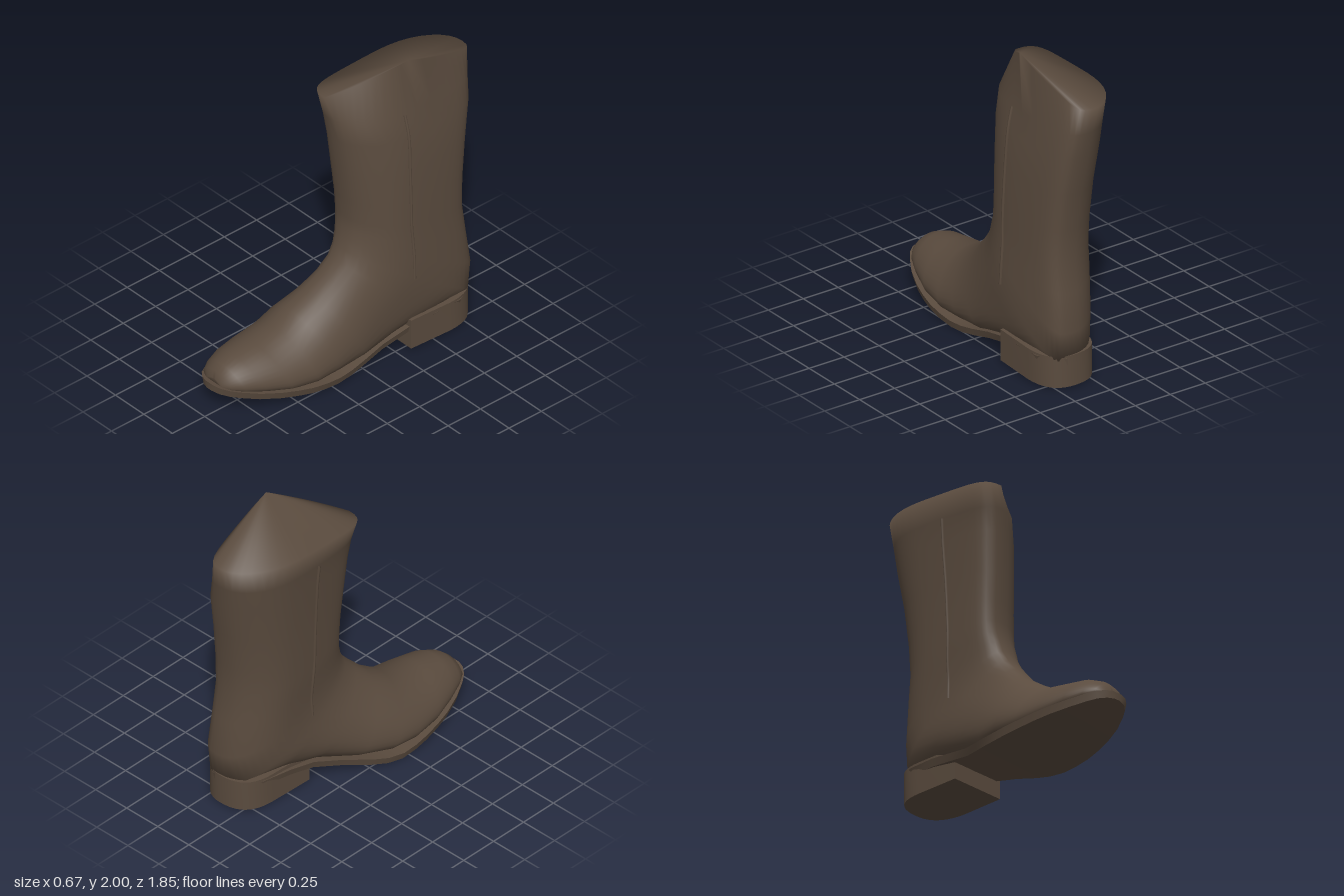
import * as THREE from 'three';
import { toCreasedNormals } from 'three/addons/utils/BufferGeometryUtils.js';

const leather = new THREE.MeshStandardMaterial({ color: 0x5a4b3e });
leather.name = 'brown leather';

// Skin a stack of closed rings, with a fan over each end.
function loft(rings, startTip = 0, endTip = 0) {
  const n = rings[0].length, pos = [], index = [];
  rings.forEach(r => r.forEach(p => pos.push(p.x, p.y, p.z)));
  for (let s = 0; s < rings.length - 1; s++) {
    for (let i = 0; i < n; i++) {
      const a = s * n + i, b = s * n + (i + 1) % n;
      index.push(a, b, a + n, b, b + n, a + n);
    }
  }
  const last = (rings.length - 1) * n;
  for (let i = 1; i < n - 1; i++) {
    const s = (startTip + i) % n, e = (endTip + i) % n;
    index.push(startTip, (s + 1) % n, s);
    index.push(last + endTip, last + e, last + (e + 1) % n);
  }
  const g = new THREE.BufferGeometry();
  g.setAttribute('position', new THREE.Float32BufferAttribute(pos, 3));
  g.setIndex(index);
  g.computeVertexNormals();
  return g;
}

// Sections swing from upright at the toe to level in the shaft:
// front z, front y, back z, back y, half width, centre x
const SECTIONS = [
  [0.885, 0.19, 0.885, 0.15, 0.07, -0.05],
  [0.87, 0.235, 0.85, 0.14, 0.125, -0.05],
  [0.83, 0.27, 0.78, 0.12, 0.17, -0.045],
  [0.75, 0.305, 0.66, 0.09, 0.218, -0.04],
  [0.6, 0.325, 0.5, 0.05, 0.265, -0.035],
  [0.44, 0.35, 0.32, 0.03, 0.287, -0.03],
  [0.32, 0.42, 0.15, 0.03, 0.285, -0.025],
  [0.2, 0.5, -0.05, 0.045, 0.258, 0.01],
  [0.1, 0.6, -0.3, 0.11, 0.225, 0.055],
  [0.03, 0.68, -0.6, 0.15, 0.22, 0.085],
  [-0.01, 0.75, -0.835, 0.17, 0.22, 0.095],
  [-0.03, 0.82, -0.855, 0.36, 0.215, 0.095],
  [-0.045, 0.88, -0.825, 0.6, 0.215, 0.085],
  [-0.05, 0.95, -0.8, 0.8, 0.215, 0.08],
  [-0.045, 1.08, -0.81, 1.0, 0.215, 0.075],
  [-0.03, 1.25, -0.84, 1.25, 0.215, 0.065],
  [-0.01, 1.5, -0.885, 1.5, 0.215, 0.047],
  [0.005, 1.64, -0.9, 1.65, 0.205, 0.025],
  [0.02, 1.78, -0.925, 1.81, 0.203, 0.002],
];
const SIDES = 40, QUARTER = SIDES / 4;
const PEAK = 0.13; // how far the rim's peak sits ahead of its middle

function upperRing([fz, fy, bz, by, hw, cx], s) {
  const top = s === SECTIONS.length - 1;
  const shaft = THREE.MathUtils.smoothstep(s, 5, 11);
  const sag = top ? -PEAK : 0.5 * (1 - shaft); // foot is widest near the sole
  const skew = 0.14 * shaft;                   // heel sits towards +x
  const e = 2 / (2 + 0.5 * shaft);
  const bend = v => Math.sign(v) * Math.abs(v) ** e;
  const ring = [];
  for (let i = 0; i < SIDES; i++) {
    const t = (i / SIDES) * Math.PI * 2, sn = Math.sin(t), q = i / QUARTER;
    let along = bend(Math.cos(t)) - sag * sn * sn, side = bend(sn);
    // rim is cut straight from the front to the peak
    if (top && q <= 1) {
      along = 1 - q * (1 - PEAK);
      side = q;
    }
    const z = (fz + bz) / 2 + along * (fz - bz) / 2;
    let y = (fy + by) / 2 + along * (fy - by) / 2;
    const x = cx - skew / 2 * along ** 3 + hw * side;
    if (top && q <= 2) {
      const away = along - PEAK;
      y = THREE.MathUtils.lerp(2, y, Math.abs(away) / (1 - Math.sign(away) * PEAK));
    }
    ring.push(new THREE.Vector3(x, y, z));
  }
  return ring;
}

// Sole outline: z, low-x edge, high-x edge, underside y
const SOLE = [
  [0.92, -0.085, -0.02, 0.13], [0.905, -0.13, 0.035, 0.126],
  [0.87, -0.175, 0.08, 0.117], [0.82, -0.21, 0.118, 0.104],
  [0.72, -0.26, 0.178, 0.08], [0.6, -0.302, 0.228, 0.057],
  [0.5, -0.323, 0.257, 0.04], [0.4, -0.337, 0.276, 0.023],
  [0.3, -0.344, 0.283, 0.01], [0.2, -0.34, 0.281, 0],
  [0.1, -0.315, 0.275, 0.006], [0, -0.27, 0.268, 0.025],
  [-0.15, -0.19, 0.262, 0.065], [-0.33, -0.125, 0.285, 0.115],
  [-0.5, -0.1, 0.31, 0.14], [-0.7, -0.07, 0.315, 0.15],
  [-0.8, -0.01, 0.26, 0.15], [-0.84, 0.08, 0.2, 0.15],
];

export function createModel() {
  const boot = new THREE.Group();
  boot.name = 'boot';
  const add = (name, geometry) => {
    const mesh = new THREE.Mesh(geometry, leather);
    mesh.name = name;
    boot.add(mesh);
  };

  // Foot and shaft in one skin, closed by a slanted top
  const rings = SECTIONS.map(upperRing);
  add('upper', loft(rings, 0, QUARTER));

  // Curved sole with a narrow welt
  const soleRings = SOLE.map(([z, l, r, y]) => {
    const h = y + 0.045;
    return [[l, h], [r, h], [r - 0.012, y], [l + 0.012, y]]
      .map(([x, v]) => new THREE.Vector3(x, v, z));
  });
  add('sole', toCreasedNormals(loft(soleRings), 0.7));

  // Stacked heel with a rounded back
  const d = new THREE.Shape();
  d.moveTo(-0.085, 0.33);
  d.lineTo(0.3, 0.33);
  d.lineTo(0.315, 0.62);
  d.bezierCurveTo(0.315, 0.78, 0.25, 0.845, 0.14, 0.845);
  d.bezierCurveTo(0.0, 0.845, -0.07, 0.78, -0.075, 0.62);
  d.closePath();
  const heel = new THREE.ExtrudeGeometry(d, { depth: 0.2, bevelEnabled: false, curveSegments: 10 });
  heel.rotateX(-Math.PI / 2);
  heel.translate(0, 0.01, 0);
  add('heel', toCreasedNormals(heel, 0.6));

  // Raised side seams running up the shaft
  for (const [name, column] of [['leftSeam', QUARTER - 1], ['rightSeam', QUARTER * 3 + 1]]) {
    const path = new THREE.CatmullRomCurve3(rings.slice(10, 18).map(r => r[column]));
    add(name, new THREE.TubeGeometry(path, 40, 0.01, 6, false));
  }
  return boot;
}
